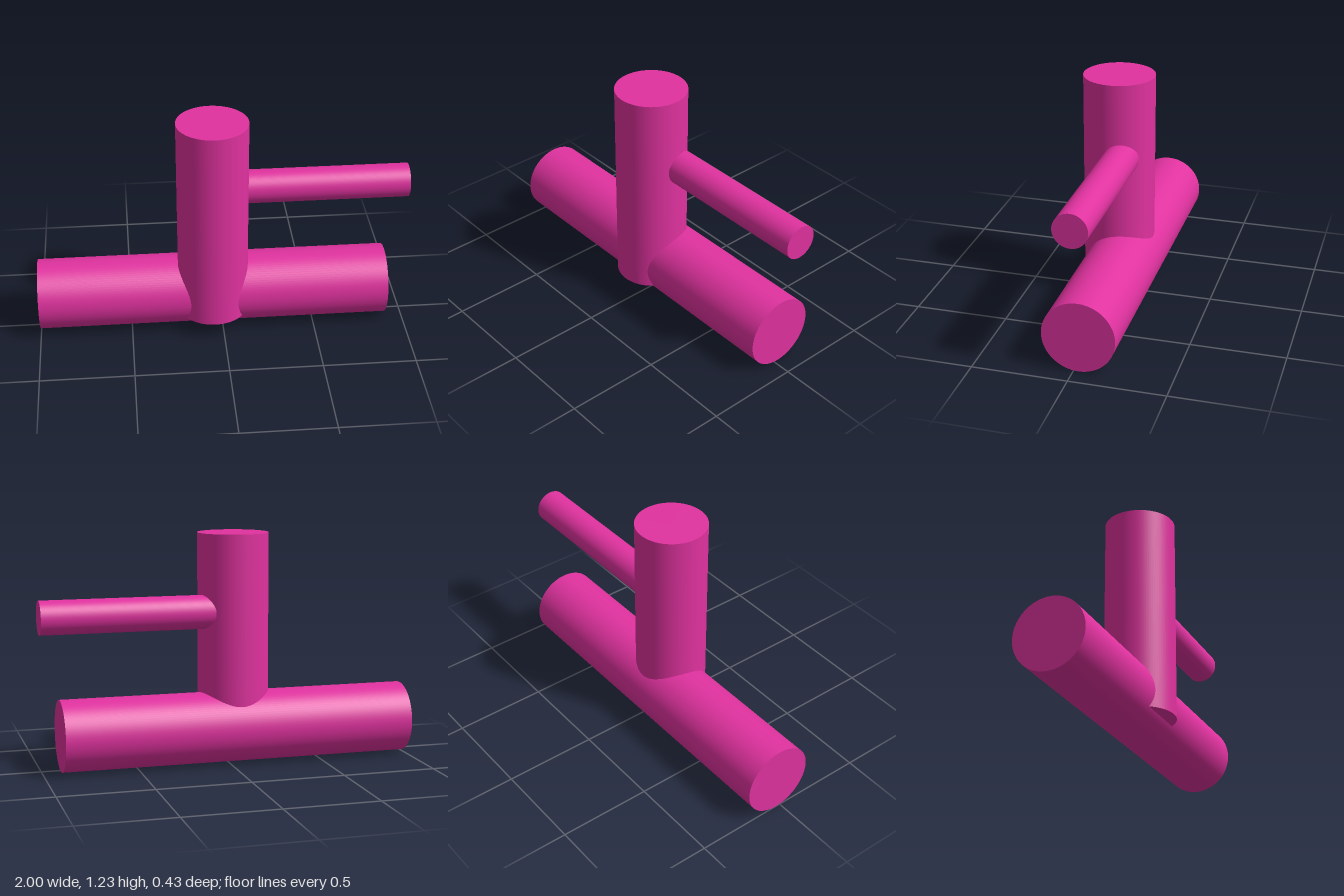
import * as THREE from 'three';

const material = new THREE.MeshStandardMaterial({ color: 0xe0329f });

// Solid smooth rod running between two points
function rod(name, radius, from, to) {
  const a = new THREE.Vector3(...from);
  const b = new THREE.Vector3(...to);
  const axis = b.clone().sub(a);
  const mesh = new THREE.Mesh(new THREE.CylinderGeometry(radius, radius, axis.length(), 96), material);
  mesh.name = name;
  mesh.position.copy(a).add(b).multiplyScalar(0.5);
  mesh.quaternion.setFromUnitVectors(new THREE.Vector3(0, 1, 0), axis.normalize());
  return mesh;
}

export function createModel() {
  const group = new THREE.Group();
  group.name = 'intersectingRods';
  group.add(
    // Thick horizontal rod lying on the ground
    rod('baseRod', 0.19, [-1, 0.19, -0.025], [0.9, 0.19, -0.025]),
    // Upright column, set slightly forward of the base rod
    rod('column', 0.19, [-0.05, 0.095, 0.025], [-0.05, 1.23, 0.025]),
    // Thin side branch starting inside the column
    rod('branchRod', 0.09, [-0.05, 0.815, -0.025], [1, 0.815, -0.025]),
  );
  return group;
}
